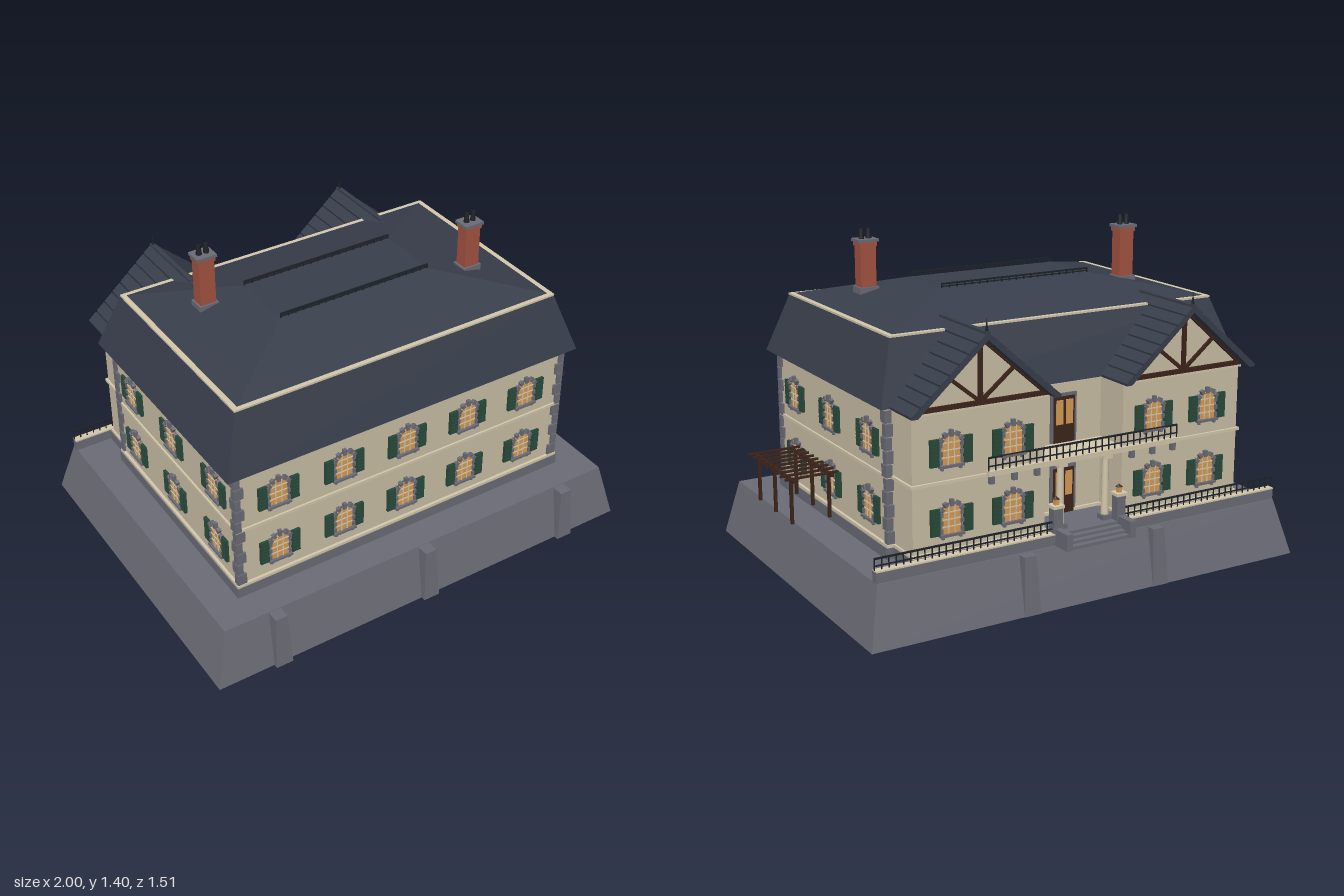
import * as THREE from 'three';

const mat = (name, color) => Object.assign(new THREE.MeshStandardMaterial({ color }), { name });
const wall = mat('plaster', 0xcabea6), trim = mat('cream trim', 0xd3c7ab), stone = mat('stone', 0x6a6b75),
  slate = mat('slate', 0x383e4b), brick = mat('brick', 0xa25241), green = mat('shutter green', 0x28493a),
  glass = mat('lit glass', 0xd69a56), wood = mat('dark timber', 0x3c241a), iron = mat('iron', 0x1d2127);
const CX = -0.02; // axis of the house

function add(parent, name, geo, m, x = 0, y = 0, z = 0) {
  const mesh = new THREE.Mesh(geo, m);
  mesh.name = name;
  mesh.position.set(x, y, z);
  parent.add(mesh);
  return mesh;
}
// box given by its limits
const box = (p, name, m, x0, x1, y0, y1, z0, z1) => add(p, name,
  new THREE.BoxGeometry(x1 - x0, y1 - y0, z1 - z0), m, (x0 + x1) / 2, (y0 + y1) / 2, (z0 + z1) / 2);
// box whose top rectangle differs from its bottom one; rectangles are [x0, x1, z0, z1]
function frustum(p, name, m, a, y0, b, y1) {
  const g = new THREE.BoxGeometry(1, 1, 1), pos = g.attributes.position;
  for (let i = 0; i < pos.count; i++) {
    const top = pos.getY(i) > 0, r = top ? b : a;
    pos.setXYZ(i, pos.getX(i) > 0 ? r[1] : r[0], top ? y1 : y0, pos.getZ(i) > 0 ? r[3] : r[2]);
  }
  g.computeVertexNormals();
  return add(p, name, g, m);
}
// square bar between two points in the xy plane
function bar(p, name, m, x0, y0, x1, y1, z, w, d) {
  const b = add(p, name, new THREE.BoxGeometry(Math.hypot(x1 - x0, y1 - y0), w, d), m, (x0 + x1) / 2, (y0 + y1) / 2, z);
  b.rotation.z = Math.atan2(y1 - y0, x1 - x0);
  return b;
}
const extrude = (pts, depth) => new THREE.ExtrudeGeometry(
  new THREE.Shape(pts.map(([x, y]) => new THREE.Vector2(x, y))), { depth, bevelEnabled: false });
function railing(p, name, x0, x1, y, z, h, step) {
  const g = new THREE.Group(), n = Math.round((x1 - x0) / step);
  g.name = name;
  box(g, 'topRail', iron, x0, x1, y + h - 0.006, y + h, z - 0.004, z + 0.004);
  box(g, 'lowRail', iron, x0, x1, y + h * 0.3, y + h * 0.3 + 0.004, z - 0.003, z + 0.003);
  for (let i = 0; i <= n; i++) {
    const x = x0 + (x1 - x0) * i / n;
    box(g, 'baluster', iron, x - 0.002, x + 0.002, y, y + h, z - 0.002, z + 0.002);
  }
  p.add(g);
}

// arched window opening outline
function archPoints(w, spring, rise) {
  const pts = [[-w, 0], [w, 0]];
  for (let i = 0; i <= 8; i++) {
    const a = Math.PI * i / 8;
    pts.push([w * Math.cos(a), spring + rise * Math.sin(a)]);
  }
  return pts;
}
const paneGeo = extrude(archPoints(0.04, 0.085, 0.03), 0.006);
const rimGeo = extrude(archPoints(0.047, 0.085, 0.038), 0.004);

function makeWindow(p, x, y, z, turn) {
  const g = new THREE.Group();
  g.name = 'window';
  add(g, 'rim', rimGeo, stone);
  add(g, 'pane', paneGeo, glass);
  for (const mx of [-0.013, 0.013]) box(g, 'mullion', trim, mx - 0.002, mx + 0.002, 0, 0.11, 0, 0.009);
  for (const my of [0.03, 0.058, 0.086]) box(g, 'glazingBar', trim, -0.038, 0.038, my - 0.002, my + 0.002, 0, 0.009);
  box(g, 'sill', stone, -0.052, 0.052, -0.008, 0.002, 0, 0.018);
  for (const s of [-1, 1]) {
    box(g, 'sillBracket', stone, s * 0.038 - 0.005, s * 0.038 + 0.005, -0.018, -0.008, 0, 0.012);
    for (let i = 0; i < 3; i++) box(g, 'jambBlock', stone, s * 0.044 - 0.006, s * 0.044 + 0.006, 0.006 + i * 0.032, 0.024 + i * 0.032, 0, 0.012);
    box(g, 'shutter', green, s * 0.07 - 0.019, s * 0.07 + 0.019, 0, 0.105, 0, 0.012);
    for (let i = 0; i < 6; i++) box(g, 'louvre', green, s * 0.07 - 0.014, s * 0.07 + 0.014, 0.01 + i * 0.016, 0.016 + i * 0.016, 0.01, 0.015);
  }
  // voussoirs
  for (let i = 0; i < 5; i++) {
    const a = Math.PI * (0.1 + 0.2 * i);
    const v = add(g, 'voussoir', new THREE.BoxGeometry(0.015, i === 2 ? 0.026 : 0.018, 0.015), stone,
      0.045 * Math.cos(a), 0.087 + 0.036 * Math.sin(a), 0.0075);
    v.rotation.z = (a - Math.PI / 2) * 0.7;
  }
  g.position.set(x, y, z);
  g.rotation.y = turn;
  p.add(g);
}

function makeWing(p, cx) {
  const g = new THREE.Group();
  g.name = 'rearWing';
  g.position.x = cx;
  box(g, 'wingBase', stone, -0.295, 0.295, 0.23, 0.28, -0.63, -0.4);
  box(g, 'wingWall', wall, -0.285, 0.285, 0.28, 0.84, -0.62, -0.4);
  for (const [y, o] of [[0.28, 0.008], [0.55, 0.01], [0.82, 0.008]])
    box(g, 'wingBand', trim, -0.285 - o, 0.285 + o, y, y + 0.012, -0.62 - o, -0.44);
  add(g, 'gableWall', extrude([[-0.285, 0.832], [0.285, 0.832], [0, 1.085]], 0.15), wall, 0, 0, -0.62);
  // gable timbers
  box(g, 'tieBeam', wood, -0.29, 0.29, 0.83, 0.848, -0.632, -0.615);
  box(g, 'kingPost', wood, -0.009, 0.009, 0.84, 1.08, -0.63, -0.615);
  for (const s of [-1, 1]) {
    bar(g, 'strut', wood, s * 0.01, 0.85, s * 0.14, 0.955, -0.624, 0.014, 0.012);
    bar(g, 'rafter', wood, s * 0.285, 0.838, 0, 1.085, -0.626, 0.016, 0.016);
  }
  // roof with stepped slate courses
  const right = [], n = 8;
  for (let i = 0; i < n; i++) {
    const t = i / n, u = (i + 1) / n;
    right.push([0.315 * (1 - t), 0.83 + 0.275 * t], [0.315 * (1 - t) + 0.002, 0.84 + 0.275 * t], [0.315 * (1 - u) + 0.006, 0.835 + 0.275 * u]);
  }
  const left = right.map(([x, y]) => [-x, y]).reverse();
  add(g, 'wingRoof', extrude([...right, [0, 1.112], ...left, [-0.29, 0.83], [0, 1.085], [0.29, 0.83]], 0.385), slate, 0, 0, -0.685);
  box(g, 'ridgeCap', slate, -0.01, 0.01, 1.1, 1.116, -0.685, -0.33);
  add(g, 'finial', new THREE.ConeGeometry(0.007, 0.055, 6), iron, 0, 1.138, -0.672);
  p.add(g);
}

function makeChimney(p, x, z, top) {
  const g = new THREE.Group();
  g.name = 'chimney';
  g.position.set(x, 0, z);
  box(g, 'chimneyBase', stone, -0.042, 0.042, 1.07, 1.142, -0.036, 0.036);
  box(g, 'stack', brick, -0.034, 0.034, 1.1, top - 0.012, -0.028, 0.028);
  box(g, 'collar', brick, -0.038, 0.038, top - 0.03, top - 0.012, -0.032, 0.032);
  box(g, 'cap', stone, -0.044, 0.044, top - 0.012, top, -0.037, 0.037);
  for (const s of [-1, 1]) add(g, 'pot', new THREE.CylinderGeometry(0.009, 0.012, 0.04, 10), iron, s * 0.016, top + 0.02, 0);
  p.add(g);
}

export function createModel() {
  const m = new THREE.Group();
  m.name = 'mansion';

  // battered terrace with buttresses
  frustum(m, 'terrace', stone, [-1, 0.96, -0.735, 0.735], 0, [-0.94, 0.905, -0.675, 0.685], 0.235);
  for (const dx of [-0.7, 0, 0.7]) {
    const x = CX + dx;
    frustum(m, 'frontButtress', stone, [x - 0.037, x + 0.037, 0.6, 0.755], 0, [x - 0.026, x + 0.026, 0.6, 0.737], 0.232);
  }
  for (const dx of [-0.3, 0.3]) {
    const x = CX + dx;
    frustum(m, 'rearButtress', stone, [x - 0.037, x + 0.037, -0.738, -0.6], 0, [x - 0.026, x + 0.026, -0.715, -0.6], 0.232);
  }

  // main block
  box(m, 'foundation', stone, -0.808, 0.768, 0.23, 0.28, -0.478, 0.557);
  box(m, 'walls', wall, -0.792, 0.752, 0.28, 0.84, -0.465, 0.542);
  for (const [y, o] of [[0.28, 0.012], [0.55, 0.008], [0.817, 0.013]])
    box(m, 'band', trim, -0.792 - o, 0.752 + o, y, y + 0.012, -0.465 - o, 0.542 + o);
  for (const [x, sx] of [[-0.792, 1], [0.752, -1]]) for (const [z, sz] of [[0.542, -1], [-0.465, 1]])
    for (let i = 0; i < 10; i++) {
      const lx = i % 2 ? 0.026 : 0.04, lz = i % 2 ? 0.04 : 0.026, y = 0.293 + i * 0.0525;
      add(m, 'quoin', new THREE.BoxGeometry(lx, 0.048, lz), stone, x + sx * (lx / 2 - 0.01), y + 0.024, z + sz * (lz / 2 - 0.01));
    }

  // mansard roof
  frustum(m, 'lowerRoof', slate, [-0.84, 0.797, -0.515, 0.58], 0.832, [-0.755, 0.715, -0.43, 0.5], 1.08);
  box(m, 'roofTrim', trim, -0.758, 0.718, 1.075, 1.083, -0.433, 0.503);
  frustum(m, 'upperRoof', slate, [-0.75, 0.71, -0.425, 0.495], 1.08, [-0.37, 0.325, -0.11, 0.175], 1.166);
  for (const z of [-0.108, 0.173]) railing(m, 'roofCresting', -0.365, 0.322, 1.164, z, 0.022, 0.035);
  makeChimney(m, -0.532, -0.125, 1.357);
  makeChimney(m, 0.508, 0.195, 1.337);

  // rear wings
  for (const s of [-1, 1]) makeWing(m, CX + s * 0.465);

  // windows on all sides
  for (const y of [0.352, 0.62]) {
    for (let i = -2; i <= 2; i++) makeWindow(m, CX + i * 0.295, y, 0.542, 0);
    for (const z of [0.38, 0.035, -0.312]) {
      makeWindow(m, 0.752, y, z, Math.PI / 2);
      makeWindow(m, -0.792, y, z, -Math.PI / 2);
    }
    for (const dx of [-0.59, -0.325, 0.325, 0.59]) makeWindow(m, CX + dx, y, -0.62, Math.PI);
  }

  // entrance and balcony doors
  for (const y of [0.28, 0.575]) {
    box(m, 'doorSurround', stone, CX - 0.06, CX + 0.06, y, y + 0.2, -0.473, -0.46);
    box(m, 'door', wood, CX - 0.048, CX + 0.048, y, y + 0.188, -0.478, -0.46);
    for (const s of [-1, 1]) box(m, 'doorGlass', glass, CX + s * 0.023 - 0.016, CX + s * 0.023 + 0.016, y + 0.075, y + 0.175, -0.481, -0.475);
  }

  // balcony on columns and brackets
  box(m, 'porchFloor', stone, CX - 0.18, CX + 0.18, 0.23, 0.28, -0.65, -0.46);
  box(m, 'balconySlab', trim, CX - 0.44, CX + 0.44, 0.55, 0.57, -0.642, -0.46);
  railing(m, 'balconyRailing', CX - 0.435, CX + 0.435, 0.57, -0.634, 0.055, 0.03);
  for (const s of [-1, 1]) {
    for (const d of [0.22, 0.32, 0.42]) box(m, 'bracket', stone, CX + s * d - 0.01, CX + s * d + 0.01, 0.518, 0.55, -0.638, -0.615);
    const x = CX + s * 0.105;
    add(m, 'column', new THREE.CylinderGeometry(0.013, 0.016, 0.25, 14), trim, x, 0.41, -0.615);
    box(m, 'columnBase', stone, x - 0.021, x + 0.021, 0.28, 0.3, -0.636, -0.594);
    box(m, 'columnCapital', trim, x - 0.021, x + 0.021, 0.532, 0.55, -0.636, -0.594);
  }

  // steps, cheeks, newels and lanterns
  for (let i = 0; i < 4; i++) box(m, 'step', stone, CX - 0.135, CX + 0.135, 0.235, 0.28 - i * 0.011, -0.67 - i * 0.025, -0.64);
  for (const s of [-1, 1]) {
    const x = CX + s * 0.147;
    box(m, 'stairCheek', stone, x - 0.014, x + 0.014, 0.235, 0.302, -0.753, -0.64);
    box(m, 'newel', stone, x - 0.02, x + 0.02, 0.235, 0.382, -0.67, -0.633);
    box(m, 'newelCap', trim, x - 0.025, x + 0.025, 0.382, 0.394, -0.676, -0.628);
    box(m, 'lantern', glass, x - 0.009, x + 0.009, 0.394, 0.415, -0.66, -0.642);
    const roof = add(m, 'lanternRoof', new THREE.ConeGeometry(0.016, 0.014, 4), wood, x, 0.422, -0.651);
    roof.rotation.y = Math.PI / 4;
    // rear parapet with railing
    const [x0, x1] = s < 0 ? [-0.942, CX - 0.16] : [CX + 0.16, 0.905];
    box(m, 'parapet', stone, x0, x1, 0.23, 0.277, -0.67, -0.637);
    box(m, 'coping', trim, x0, x1, 0.277, 0.283, -0.672, -0.64);
    railing(m, 'terraceRailing', x0, x1, 0.283, -0.656, 0.047, 0.03);
  }

  // pergola
  const pergola = new THREE.Group();
  pergola.name = 'pergola';
  for (const x of [0.805, 0.965]) {
    for (const z of [0.283, 0.118, -0.047]) box(pergola, 'post', wood, x - 0.006, x + 0.006, 0.28, 0.46, z - 0.006, z + 0.006);
    box(pergola, 'beam', wood, x - 0.006, x + 0.006, 0.457, 0.47, -0.085, 0.318);
  }
  for (let i = 0; i < 9; i++) {
    const z = -0.072 + i * 0.0475;
    box(pergola, 'slat', wood, 0.775, 1, 0.468, 0.477, z - 0.004, z + 0.004);
  }
  m.add(pergola);
  return m;
}
